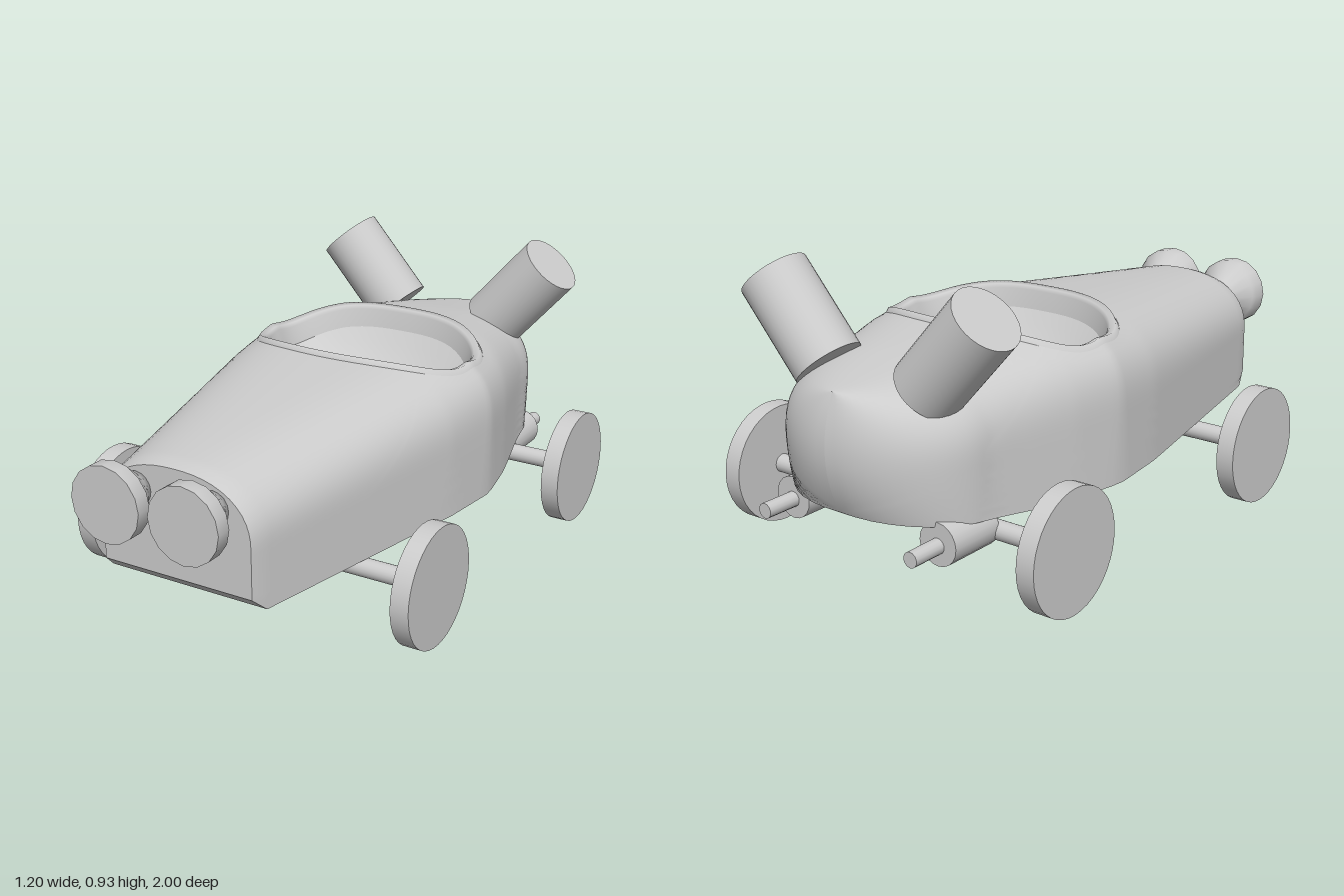
import * as THREE from 'three';

const material = new THREE.MeshStandardMaterial({ color: 0xcccccc, side: THREE.DoubleSide });
const lerp = THREE.MathUtils.lerp;

// Linear look-up in a short table of [z, value] pairs
function along(table, z) {
  let i = 1;
  while (i < table.length - 1 && z > table[i][0]) i++;
  const [a, b] = [table[i - 1], table[i]];
  return lerp(a[1], b[1], THREE.MathUtils.clamp((z - a[0]) / (b[0] - a[0]), 0, 1));
}

// Hull proportions along z
const WIDTH = [[-0.7, 0.345], [-0.6, 0.37], [-0.4, 0.425], [-0.22, 0.46], [0, 0.435], [0.84, 0.267], [0.86, 0.257]];
const TOP = [[-1, 0.62], [-0.9, 0.635], [-0.65, 0.675], [-0.45, 0.705], [-0.2, 0.715], [0, 0.695], [0.83, 0.615], [0.86, 0.605]];
const BOTTOM = [[-1, 0.26], [-0.8, 0.25], [-0.5, 0.225], [0.81, 0.22], [0.86, 0.265]];
const POWER = [[-1, 2.5], [-0.22, 3.4], [0.86, 2.3]];
const SHOULDER = 0.42, ARCH = 0.6, TAIL = -0.7, FRONT = 0.86;
const BACK = TAIL - 0.3 * Math.PI / 2;

// Point on the hull: q runs back to front, v runs from right sill (-1) over the top to left sill (1)
function hull(q, v) {
  const tail = Math.max(0, (TAIL - q) / 0.3);
  let z = tail > 0 ? TAIL - 0.3 * Math.sin(tail) : q;
  const w = along(WIDTH, z) * Math.cos(tail), n = along(POWER, z), t = Math.abs(v);
  let x = w, y;
  if (t > ARCH) {
    y = lerp(SHOULDER, along(BOTTOM, z), (t - ARCH) / (1 - ARCH));
  } else {
    const a = t / ARCH * Math.PI / 2, s = Math.sin(a), c = Math.max(0, Math.cos(a));
    const r = Math.pow(s ** n + c ** n, -1 / n);
    x = w * r * s;
    y = SHOULDER + (along(TOP, z) - SHOULDER) * r * c;
  }
  z += 0.05 * ((y - 0.45) / 0.19) ** 2 * Math.min(1, tail / 1.57);
  return new THREE.Vector3(Math.sign(v) * x, y, z);
}

// Value of v at which the top of the hull reaches a given x
function topV(x, z) {
  const n = along(POWER, z), X = Math.abs(x) / along(WIDTH, z);
  return Math.sign(x) * ARCH * Math.atan2(X, (1 - X ** n) ** (1 / n)) / (Math.PI / 2);
}

// Skin over rows of points
function skin(name, rows, closed) {
  const n = rows[0].length, index = [];
  for (let i = 0; i < rows.length - 1; i++) {
    for (let j = 0; j < (closed ? n : n - 1); j++) {
      const k = (j + 1) % n, a = i * n + j, b = i * n + k;
      index.push(a, b, a + n, b, b + n, a + n);
    }
  }
  const g = new THREE.BufferGeometry().setFromPoints(rows.flat());
  g.setIndex(index);
  g.computeVertexNormals();
  return named(name, g);
}

function named(name, geometry) {
  const mesh = new THREE.Mesh(geometry, material);
  mesh.name = name;
  return mesh;
}

// Cylinder between two points
function rod(name, from, to, radius, sides = 20) {
  const a = new THREE.Vector3(...from), b = new THREE.Vector3(...to), d = b.clone().sub(a);
  const mesh = named(name, new THREE.CylinderGeometry(radius, radius, d.length(), sides));
  mesh.position.copy(a).add(b).multiplyScalar(0.5);
  mesh.quaternion.setFromUnitVectors(new THREE.Vector3(0, 1, 0), d.normalize());
  return mesh;
}

function buildBody() {
  const body = new THREE.Group();
  body.name = 'body';

  // Outer border of the hull skin in (q, v): left sill, nose, right sill, tail
  const border = [], N = 40;
  const side = (q0, v0, q1, v1) => {
    for (let i = 0; i < N; i++) border.push([lerp(q0, q1, i / N), lerp(v0, v1, i / N)]);
  };
  side(BACK, 1, FRONT, 1);
  side(FRONT, 1, FRONT, -1);
  side(FRONT, -1, BACK, -1);
  side(BACK, -1, BACK, 1);

  // Oval cockpit opening, matched point for point to the border
  const midZ = -0.22;
  const hole = border.map(([q, v]) => {
    const f = Math.atan2(q - midZ, v), c = Math.cos(f), s = Math.sin(f);
    const r = Math.pow(Math.abs(c) ** 2.3 + Math.abs(s) ** 2.3, -1 / 2.3);
    const z = midZ + 0.27 * r * s;
    return [z, topV(0.39 * r * c, z)];
  });
  const rings = [];
  for (let i = 0; i <= 24; i++) {
    rings.push(hole.map(([q, v], j) => hull(lerp(q, border[j][0], i / 24), lerp(v, border[j][1], i / 24))));
  }
  body.add(skin('hull', rings, true));

  // Underside and nose plate
  const sill = [1, -1].map(v => Array.from({ length: N + 1 }, (_, i) => hull(lerp(BACK, FRONT, i / N), v)));
  body.add(skin('underside', sill, false));
  const nose = Array.from({ length: N + 1 }, (_, i) => hull(FRONT, lerp(-1, 1, i / N)));
  body.add(skin('nosePlate', [nose.map(() => new THREE.Vector3(0, 0.42, FRONT)), nose], true));

  // Raised cockpit rim, then the wall and seat bowl: rows of [scale, height]
  const edge = rings[0];
  const inset = (scale, y) => edge.map(p =>
    new THREE.Vector3(p.x * scale, y(p), midZ + (p.z - midZ) * scale));
  const rim = [[0.86, -0.06], [0.9, 0.0], [0.92, 0.012], [0.97, 0.018], [1, -0.002]];
  body.add(skin('cockpitRim', rim.map(([s, dy]) => inset(s, p => p.y + dy)), true));
  const bowl = [];
  for (let i = 0; i <= 8; i++) {
    const s = i / 8;
    bowl.push(inset(0.86 * s, p => lerp(0.46, p.y - 0.06, s * s)));
  }
  body.add(skin('seatBowl', bowl, true));
  return body;
}

function buildLamp(side) {
  const profile = [[0, 0], [0.05, 0], [0.06, 0.03], [0.108, 0.09], [0.118, 0.1], [0.118, 0.15]];
  const lamp = new THREE.Group();
  lamp.name = 'headlamp';
  const shell = named('lampShell', new THREE.LatheGeometry(profile.map(p => new THREE.Vector2(...p)), 16));
  const glass = named('lampGlass', new THREE.CircleGeometry(0.118, 16));
  glass.rotation.x = -Math.PI / 2;
  glass.position.y = 0.15;
  lamp.add(shell, glass);
  lamp.rotation.x = Math.PI / 2;
  lamp.position.set(side * 0.133, 0.517, 0.85);
  return lamp;
}

export function createModel() {
  const car = new THREE.Group();
  car.name = 'car';
  car.add(buildBody());

  // Axles and the shaft joining them
  for (const z of [0.395, -0.655]) car.add(rod('axle', [-0.55, 0.191, z], [0.55, 0.191, z], 0.03));
  car.add(rod('driveShaft', [0, 0.195, 0.395], [0, 0.195, -0.655], 0.024));

  for (const s of [-1, 1]) {
    for (const z of [0.395, -0.65]) {
      car.add(rod('wheel', [s * 0.54, 0.191, z], [s * 0.6, 0.191, z], 0.191, 40));
    }
    // Slanted booster, silencer and tailpipe
    car.add(rod('booster', [s * 0.19, 0.62, -0.78], [s * 0.4, 0.855, -0.78], 0.108, 32));
    car.add(rod('silencer', [s * 0.282, 0.205, -0.67], [s * 0.282, 0.205, -0.86], 0.066));
    car.add(rod('tailpipe', [s * 0.282, 0.2, -0.85], [s * 0.282, 0.2, -0.975], 0.024, 14));
    car.add(buildLamp(s));
  }
  return car;
}
